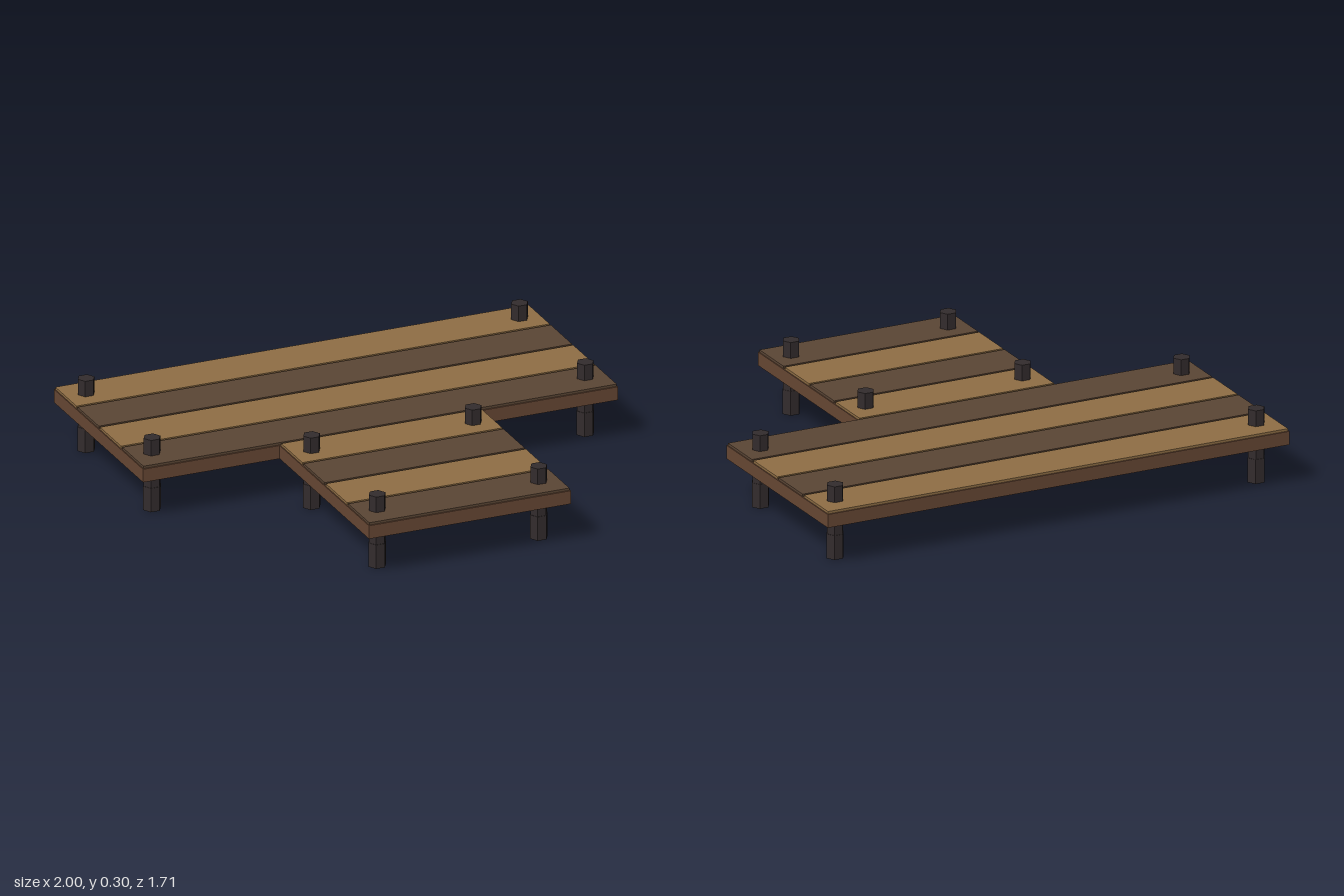
import * as THREE from 'three';

export function createModel() {
  const dock = new THREE.Group();
  dock.name = 'dock';
  const mat = (name, color) => {
    const m = new THREE.MeshStandardMaterial({ color });
    m.name = name;
    return m;
  };
  const lightWood = mat('light wood', 0x8f6e45);
  const darkWood = mat('dark wood', 0x5b4635);
  const frameWood = mat('frame wood', 0x684834);
  const postWood = mat('post wood', 0x332c2d);
  postWood.flatShading = true;

  const add = (geometry, material, name, x, y, z, parent = dock) => {
    const mesh = new THREE.Mesh(geometry, material);
    mesh.name = name;
    mesh.position.set(x, y, z);
    parent.add(mesh);
    return mesh;
  };

  // T-shaped slab under the planks
  const wide = 1, narrow = 0.425, half = 0.855;
  const outline = new THREE.Shape([
    [-wide, half], [-wide, 0], [-narrow, 0], [-narrow, -half],
    [narrow, -half], [narrow, 0], [wide, 0], [wide, half],
  ].map(([x, y]) => new THREE.Vector2(x, y)));
  const slab = new THREE.ExtrudeGeometry(outline, { depth: 0.055, bevelEnabled: false });
  slab.rotateX(-Math.PI / 2);
  add(slab, frameWood, 'frame', 0, 0.17, 0);

  // Planks in alternating colours, back to front, with small gaps
  const pitch = half / 4;
  for (let i = 0; i < 8; i++) {
    const halfWidth = (i < 4 ? wide : narrow) - 0.004;
    const plank = new THREE.BoxGeometry(halfWidth * 2, 0.01, pitch - 0.011);
    add(plank, i % 2 ? darkWood : lightWood, 'plank', 0, 0.23, -half + pitch * (i + 0.5));
  }

  // Hexagonal posts with slightly thicker feet
  const shaft = new THREE.CylinderGeometry(0.035, 0.035, 0.3, 6);
  const foot = new THREE.CylinderGeometry(0.037, 0.037, 0.1, 6);
  for (const g of [shaft, foot]) g.rotateY(Math.PI / 6);
  for (const [x, z] of [[0.912, -0.745], [0.912, -0.115], [0.34, 0.112], [0.34, 0.74]]) {
    for (const side of [-1, 1]) {
      const post = new THREE.Group();
      post.name = 'post';
      post.position.set(side * x, 0, z);
      add(shaft, postWood, 'postShaft', 0, 0.15, 0, post);
      add(foot, postWood, 'postFoot', 0, 0.05, 0, post);
      dock.add(post);
    }
  }
  return dock;
}
